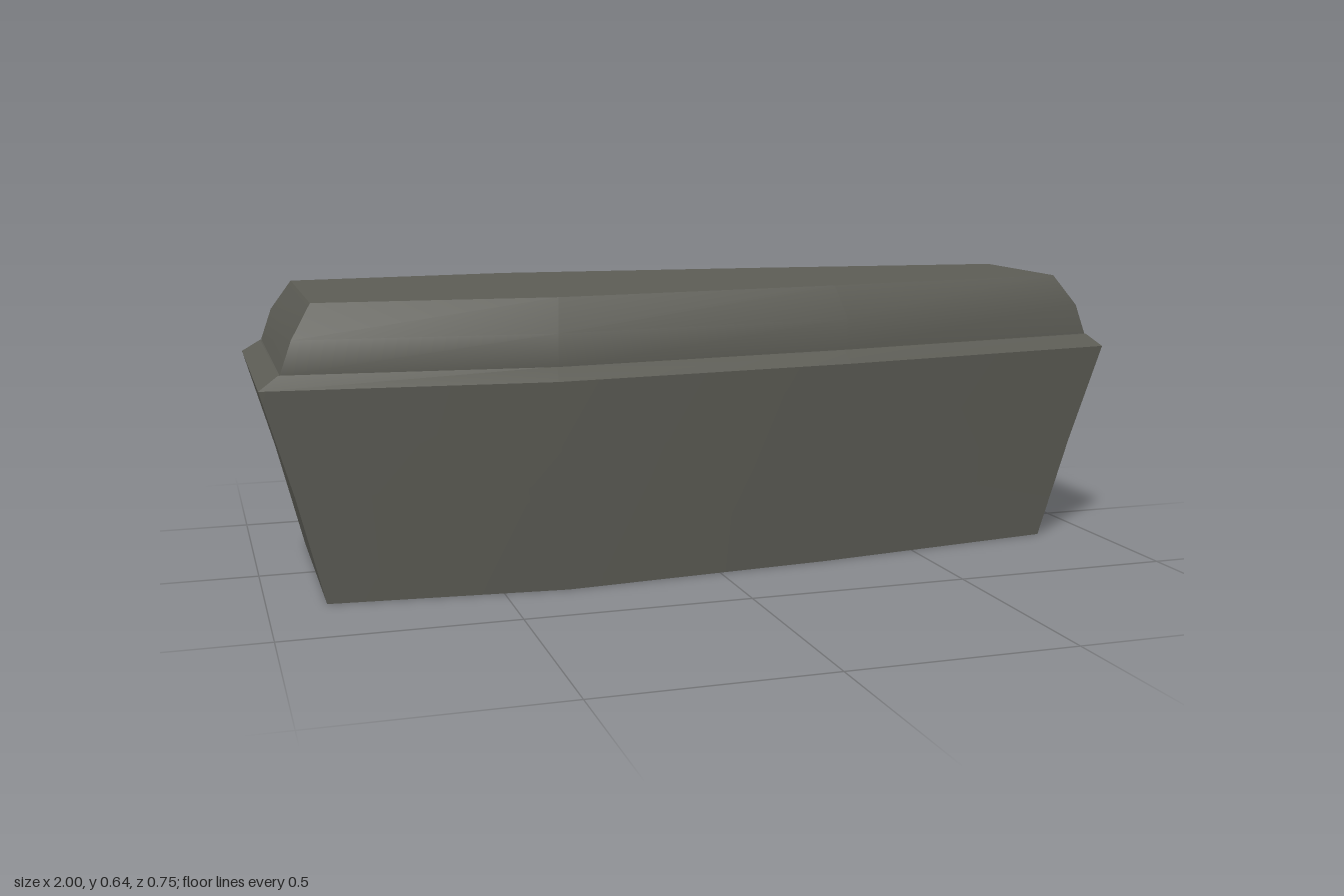
import * as THREE from 'three';
import { toCreasedNormals } from 'three/addons/utils/BufferGeometryUtils.js';

// Each ring: height, then the four x stations and their half widths.
const BODY = [
  { y: 0, x: [-0.875, -0.36, 0.26, 0.865], w: [0.268, 0.315, 0.265, 0.187] },
  { y: 0.24, x: [-0.934, -0.375, 0.28, 0.93], w: [0.293, 0.345, 0.291, 0.206] },
  { y: 0.47, x: [-1, -0.39, 0.3, 1], w: [0.315, 0.374, 0.316, 0.226] },
  { y: 0.498, x: [-0.958, -0.385, 0.295, 0.968], w: [0.294, 0.342, 0.289, 0.203] },
];
const LID = [
  { y: 0.499, x: [-0.955, -0.385, 0.3, 0.965], w: [0.3, 0.355, 0.292, 0.2] },
  { y: 0.57, x: [-0.93, -0.385, 0.3, 0.938], w: [0.3, 0.355, 0.292, 0.2] },
  { y: 0.64, x: [-0.885, -0.37, 0.29, 0.893], w: [0.252, 0.295, 0.238, 0.166] },
];

// Closed solid through a stack of eight-point rings, mirrored front to back.
function loft(rings) {
  const positions = [];
  const indices = [];
  const n = 8;
  for (const { y, x, w } of rings) {
    for (let i = 0; i < 4; i++) positions.push(x[i], y, w[i]);
    for (let i = 3; i >= 0; i--) positions.push(x[i], y, -w[i]);
  }
  for (let r = 0; r < rings.length - 1; r++) {
    for (let i = 0; i < n; i++) {
      const a = r * n + i;
      const b = r * n + ((i + 1) % n);
      indices.push(a, b, b + n, a, b + n, a + n);
    }
  }
  // Flat caps below and above
  const top = (rings.length - 1) * n;
  for (let i = 1; i < n - 1; i++) {
    indices.push(0, i + 1, i, top, top + i, top + i + 1);
  }
  const geometry = new THREE.BufferGeometry();
  geometry.setAttribute('position', new THREE.Float32BufferAttribute(positions, 3));
  geometry.setIndex(indices);
  return toCreasedNormals(geometry, THREE.MathUtils.degToRad(44));
}

export function createModel() {
  const stone = new THREE.MeshStandardMaterial({ color: 0x5c5c55 });
  stone.name = 'dark stone';

  const model = new THREE.Group();
  model.name = 'coffin';
  for (const [name, rings] of [['body', BODY], ['lid', LID]]) {
    const mesh = new THREE.Mesh(loft(rings), stone);
    mesh.name = name;
    model.add(mesh);
  }
  return model;
}
